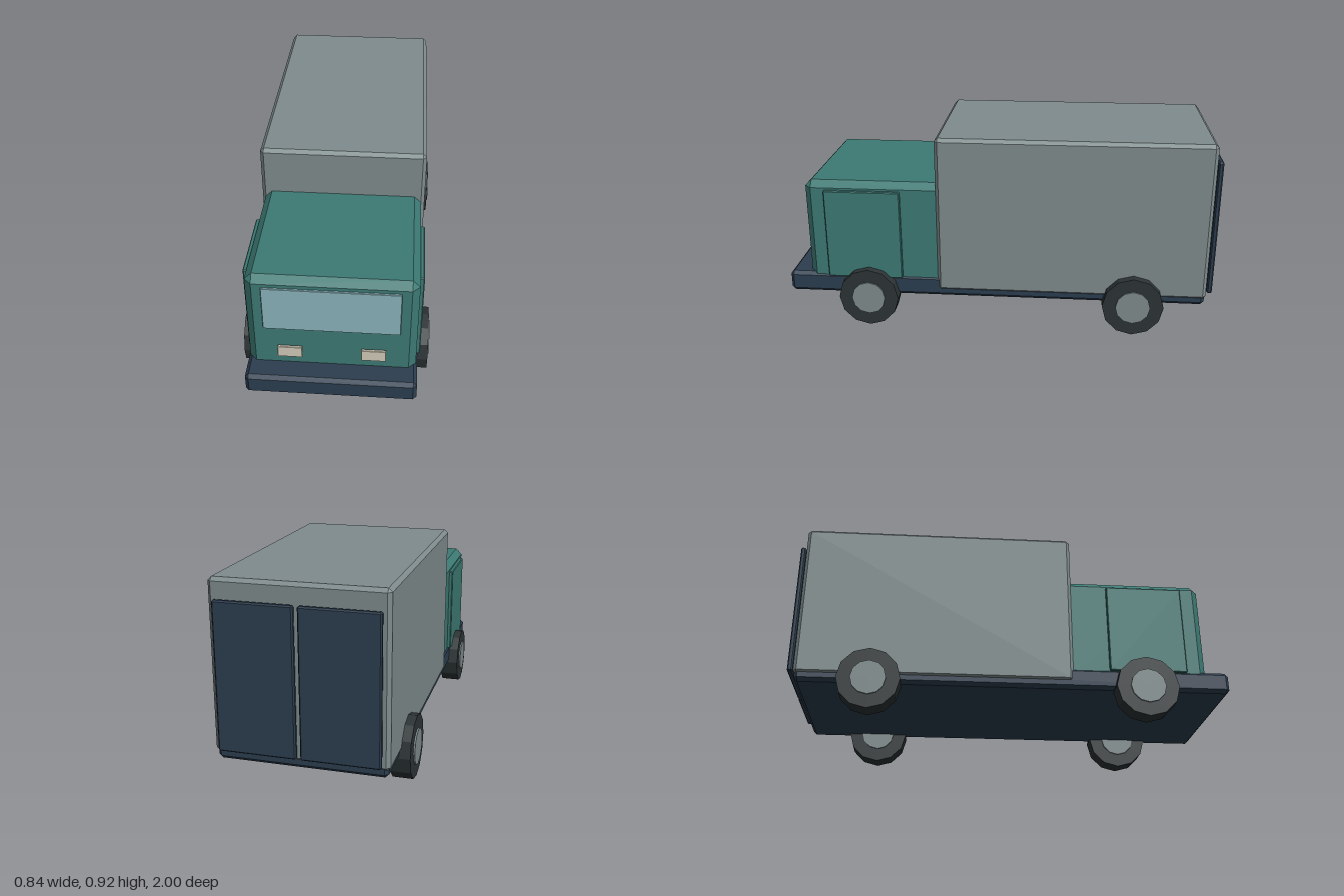
import * as THREE from 'three';
import { ConvexGeometry } from 'three/addons/geometries/ConvexGeometry.js';

const mat = (name, color) => {
  const m = new THREE.MeshStandardMaterial({ color });
  m.name = name;
  return m;
};

// Box given by its limits, with all twelve edges chamfered by c
function chamferBox([x0, x1], [y0, y1], [z0, z1], c) {
  const half = [(x1 - x0) / 2, (y1 - y0) / 2, (z1 - z0) / 2];
  const pts = [];
  for (const sx of [-1, 1]) for (const sy of [-1, 1]) for (const sz of [-1, 1]) {
    for (let axis = 0; axis < 3; axis++) {
      const p = half.map((h, i) => (i === axis ? h : h - c));
      pts.push(new THREE.Vector3(sx * p[0], sy * p[1], sz * p[2]));
    }
  }
  return new ConvexGeometry(pts).translate((x0 + x1) / 2, (y0 + y1) / 2, (z0 + z1) / 2);
}

export function createModel() {
  const truck = new THREE.Group();
  truck.name = 'boxTruck';

  const green = mat('cabGreen', 0x3d7a74);
  const grey = mat('cargoGrey', 0x7f8c8d);
  const navy = mat('chassisNavy', 0x2c3e50);
  const rubber = mat('tyreBlack', 0x2d3436);
  const glass = mat('windowGlass', 0x8ab4bd);
  const cream = mat('lampCream', 0xd3ccba);

  const add = (name, geometry, material, parent = truck) => {
    const mesh = new THREE.Mesh(geometry, material);
    mesh.name = name;
    parent.add(mesh);
    return mesh;
  };

  // Body
  add('chassis', chamferBox([-0.365, 0.365], [0.14, 0.24], [-0.965, 1], 0.016), navy);
  add('cab', chamferBox([-0.358, 0.358], [0.17, 0.7], [0.22, 0.9], 0.031), green);
  add('cargoBox', chamferBox([-0.373, 0.373], [0.172, 0.92], [-0.97, 0.284], 0.016), grey);
  add('windscreen', chamferBox([-0.287, 0.287], [0.437, 0.655], [0.9, 0.911], 0.002), glass);

  // Paired parts on each side
  for (const s of [1, -1]) {
    const side = s > 0 ? 'left' : 'right';
    const span = (a, b) => (s > 0 ? [a, b] : [-b, -a]);

    add(side + 'CabDoor', chamferBox(span(0.345, 0.376), [0.23, 0.66], [0.45, 0.806], 0.004), green);
    add(side + 'Headlamp', chamferBox(span(0.125, 0.23), [0.287, 0.344], [0.906, 0.919], 0.002), cream);
    add(side + 'RearDoor', chamferBox(span(0.009, 0.344), [0.193, 0.835], [-1, -0.976], 0.006), navy);

    // Twelve-sided wheels with a corner resting on the ground
    for (const [place, z] of [['Front', 0.61], ['Rear', -0.633]]) {
      const wheel = new THREE.Group();
      wheel.name = side + place + 'Wheel';
      wheel.position.set(s * 0.368, 0.142, z);
      truck.add(wheel);
      const drum = (r, w) => {
        const g = new THREE.CylinderGeometry(r, r, w, 12).rotateZ(Math.PI / 2).toNonIndexed();
        g.computeVertexNormals();
        return g;
      };
      add('tyre', drum(0.142, 0.09), rubber, wheel);
      add('hub', drum(0.08, 0.104), grey, wheel);
    }
  }
  return truck;
}
